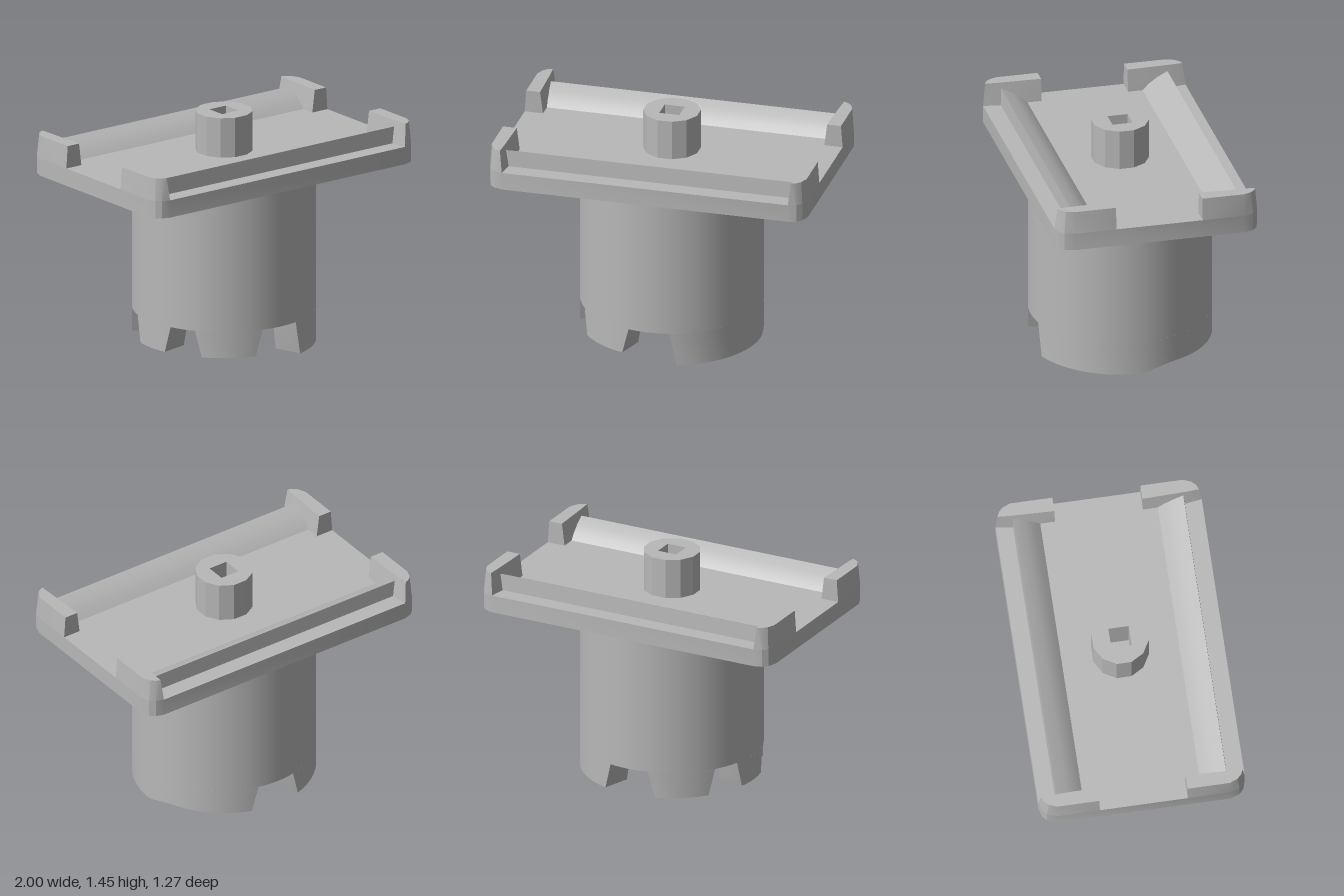
import * as THREE from 'three';
import { toCreasedNormals } from 'three/addons/utils/BufferGeometryUtils.js';

const gray = new THREE.MeshStandardMaterial({ color: 0xb8b8b8 });
gray.name = 'plain gray';

// Solid through a list of convex rings of [x, y, z] points, capped at both ends
function loft(rings) {
  const n = rings[0].length;
  const tris = [];
  const last = rings[rings.length - 1];
  for (let i = 1; i < n - 1; i++) {
    tris.push([rings[0][0], rings[0][i + 1], rings[0][i]], [last[0], last[i], last[i + 1]]);
  }
  for (let r = 0; r < rings.length - 1; r++) {
    for (let i = 0; i < n; i++) {
      const j = (i + 1) % n;
      const [a, b, c, d] = [rings[r][i], rings[r][j], rings[r + 1][j], rings[r + 1][i]];
      tris.push([a, b, c], [a, c, d]);
    }
  }
  // The sign of the volume tells whether the faces need turning outward
  const v = (p) => new THREE.Vector3(...p);
  const volume = tris.reduce((s, t) => s + v(t[0]).dot(v(t[1]).cross(v(t[2]))), 0);
  if (volume < 0) tris.forEach((t) => t.reverse());
  const geo = new THREE.BufferGeometry();
  geo.setAttribute('position', new THREE.Float32BufferAttribute(tris.flat(2), 3));
  return toCreasedNormals(geo, 0.4);
}

const rad = THREE.MathUtils.degToRad;
const lerp = THREE.MathUtils.lerp;
const onRing = (r, deg, y) => [r * Math.sin(rad(deg)), y, r * Math.cos(rad(deg))];

export function createModel() {
  const group = new THREE.Group();
  const add = (name, geo) => {
    const mesh = new THREE.Mesh(geo, gray);
    mesh.name = name;
    group.add(mesh);
    return mesh;
  };

  // Base plate with rounded corners
  const corner = [[1, 0.53], [0.98, 0.59], [0.95, 0.618], [0.9, 0.633]];
  const back = [...corner].reverse();
  const outline = [
    ...corner,
    ...back.map(([x, z]) => [-x, z]),
    ...corner.map(([x, z]) => [-x, -z]),
    ...back.map(([x, z]) => [x, -z]),
  ];
  add('plate', loft([1.09, 1.2].map((y) => outline.map(([x, z]) => [x, y, z]))));

  // Tapered corner blocks
  const blockBase = [[0.885, 0.27], [1, 0.27], ...corner, [0.885, 0.53]];
  const blockTop = [[0.903, 0.27], [0.99, 0.27], [0.99, 0.53], [0.97, 0.58],
    [0.945, 0.605], [0.915, 0.618], [0.91, 0.53]];
  for (const sx of [1, -1]) {
    for (const sz of [1, -1]) {
      const ring = (pts, y) => pts.map(([x, z]) => [sx * x, y, sz * z]);
      add('cornerBlock', loft([ring(blockBase, 1.2), ring(blockTop, 1.34)]));
    }
  }

  // Long rails with a curved inner slope
  const railProfile = [[0.355, 1.195], [0.4, 1.237], [0.455, 1.273], [0.52, 1.302], [0.527, 1.195]];
  for (const sz of [1, -1]) {
    add('rail', loft([-0.905, 0.905].map((x) => railProfile.map(([z, y]) => [x, y, sz * z]))));
  }

  // Twelve-sided hub with a square socket
  const hub = new THREE.Shape();
  for (let i = 0; i < 12; i++) {
    const a = rad(i * 30 + 15);
    hub[i ? 'lineTo' : 'moveTo'](0.176 * Math.cos(a), 0.176 * Math.sin(a));
  }
  hub.closePath();
  const h = 0.0625;
  hub.holes.push(new THREE.Path([[-h, -h], [-h, h], [h, h], [h, -h]].map((p) => new THREE.Vector2(...p))));
  const hubGeo = new THREE.ExtrudeGeometry(hub, { depth: 0.25, bevelEnabled: false });
  hubGeo.rotateX(-Math.PI / 2).translate(0, 1.2, 0);
  add('hub', hubGeo);

  // Round body
  add('body', new THREE.CylinderGeometry(0.56, 0.56, 0.88, 72).translate(0, 0.65, 0));

  // Clutch teeth: start and end angle from the front, narrowing downward
  const tooth = (start, end, bottomAt) => {
    const steps = Math.ceil((end - start) / 5);
    const rings = [];
    for (let i = 0; i <= steps; i++) {
      const t = i / steps;
      const top = lerp(start, end, t);
      const low = lerp(start + 4.5, end - 4.5, t);
      const y = bottomAt(low);
      rings.push([onRing(0.56, top, 0.21), onRing(0.56, low, y), onRing(0.38, low, y), onRing(0.38, top, 0.21)]);
    }
    return loft(rings);
  };
  // The wide tooth ramps from its deep half to its shallow half
  const ramp = (a) => 0.045 * Math.sin((Math.PI / 2) * THREE.MathUtils.clamp((a - 91) / 23, 0, 1));
  add('wideTooth', tooth(13.5, 166.5, ramp));
  for (const [start, end] of [[193, 236], [253, 287], [304, 347]]) {
    add('tooth', tooth(start, end, () => 0.045));
  }
  return group;
}
